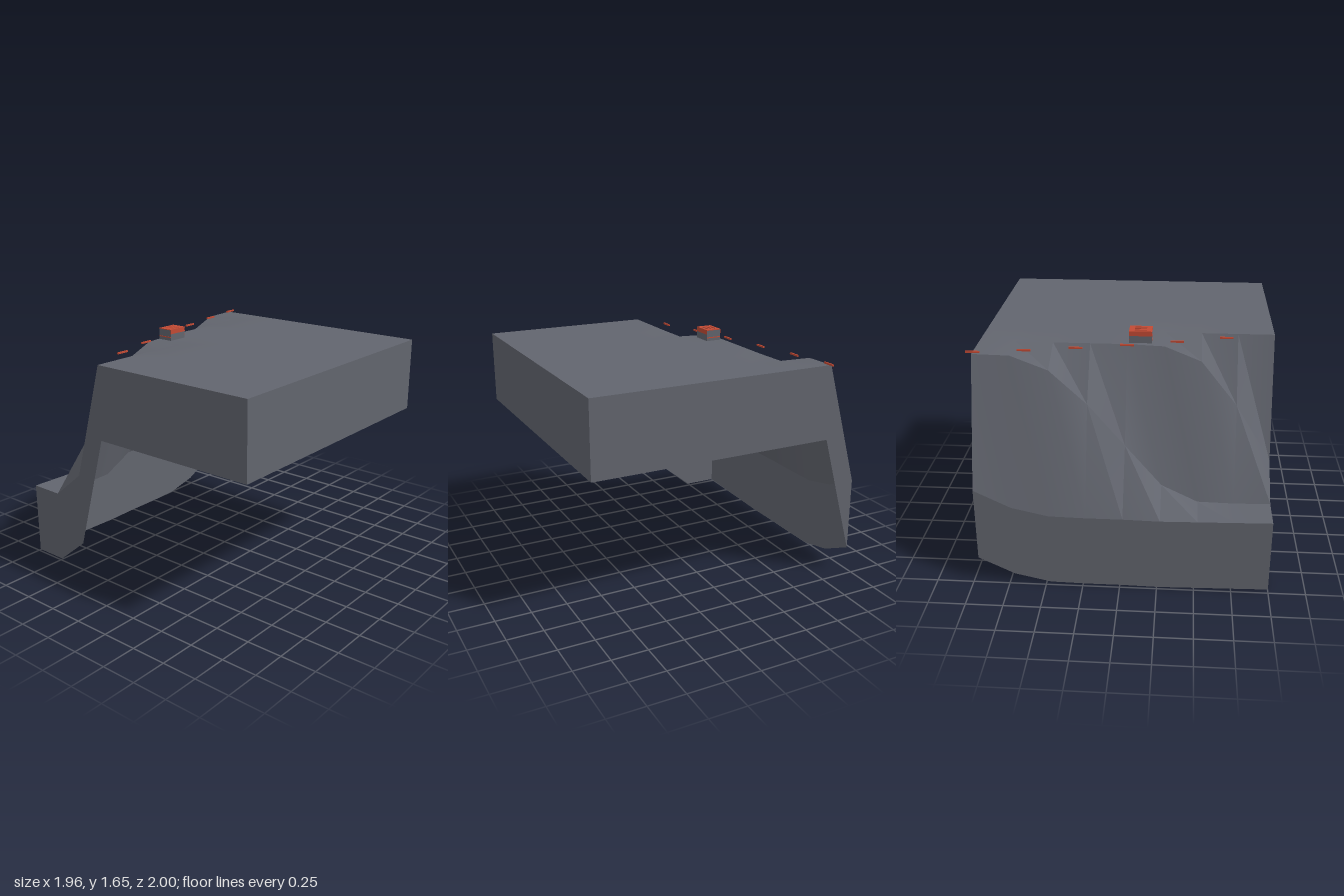
import * as THREE from 'three';
import { toCreasedNormals } from 'three/addons/utils/BufferGeometryUtils.js';

const N = 8, HALF = 0.98, ZC = 0.02, TOP = 1.57, SKIRT = 0.52;

// Heights of the three cliff columns (from the -x edge), listed back to front
const cliff = [
  [0.71, 0.59, 0.535, 0.53, 0.53, 0.525, 0.53, 0.535, 0.54],
  [1.57, 1.565, 1.47, 1.24, 0.95, 0.66, 0.54, 0.535, 0.54],
  [1.57, 1.57, 1.57, 1.57, 1.57, 1.56, 1.46, 1.15, 0.74],
];
const height = (i, j) => (cliff[i] ? cliff[i][j] : TOP);
const gridX = (i) => -HALF + (2 * HALF * i) / N;
const gridZ = (j) => gridX(j) + ZC;

export function createModel() {
  const group = new THREE.Group();
  const ground = new THREE.MeshStandardMaterial({ color: 0x62656e, side: THREE.DoubleSide });
  ground.name = 'slate grey';
  const red = new THREE.MeshStandardMaterial({ color: 0xc24a34 });
  red.name = 'brick red';

  const add = (name, geometry, material, parent = group) => {
    const mesh = new THREE.Mesh(geometry, material);
    mesh.name = name;
    parent.add(mesh);
    return mesh;
  };
  const box = (name, material, parent, w, h, d, x, y, z) =>
    add(name, new THREE.BoxGeometry(w, h, d), material, parent).position.set(x, y, z);

  // Terrain surface: a plane raised by the height grid
  const surface = new THREE.PlaneGeometry(2 * HALF, 2 * HALF, N, N).rotateX(-Math.PI / 2).translate(0, 0, ZC);
  const p = surface.attributes.position;
  for (let k = 0; k < p.count; k++) p.setY(k, height(k % (N + 1), Math.floor(k / (N + 1))));
  add('terrainSurface', toCreasedNormals(surface, 0.45), ground);

  // Skirts: open-bottomed walls that follow the terrain edge
  const sides = {
    frontSkirt: (k) => [k, N],
    leftSkirt: (k) => [N, N - k],
    backSkirt: (k) => [N - k, 0],
    rightSkirt: (k) => [0, k],
  };
  for (const [name, edge] of Object.entries(sides)) {
    const wall = new THREE.PlaneGeometry(1, 1, N, 1);
    const w = wall.attributes.position;
    for (let k = 0; k < w.count; k++) {
      const [i, j] = edge(k % (N + 1));
      w.setXYZ(k, gridX(i), height(i, j) - (k > N ? SKIRT : 0), gridZ(j));
    }
    wall.computeVertexNormals();
    add(name, wall, ground);
  }

  // Row of marker bars along the cliff top
  const markers = new THREE.Group();
  markers.name = 'cliffMarkers';
  group.add(markers);
  const bars = [[-0.717, -0.955], [-0.665, -0.635], [-0.602, -0.308], [-0.528, 0.02], [-0.443, 0.345], [-0.35, 0.672]];
  for (const [x, z] of bars) box('markerBar', red, markers, 0.011, 0.012, 0.09, x, 1.578, z);

  // Small blockhouse
  const house = new THREE.Group();
  house.name = 'blockhouse';
  house.position.set(-0.41, TOP, 0.105);
  group.add(house);
  box('blockhouseBody', ground, house, 0.11, 0.076, 0.15, 0, 0.038, 0);

  // Roof plate with three slots
  const roof = new THREE.Shape([[-0.057, -0.076], [0.057, -0.076], [0.057, 0.076], [-0.057, 0.076]].map((c) => new THREE.Vector2(...c)));
  for (const x of [-0.03, 0, 0.03]) {
    const slot = [[-0.007, -0.04], [-0.007, 0.04], [0.007, 0.04], [0.007, -0.04]];
    roof.holes.push(new THREE.Path(slot.map(([a, b]) => new THREE.Vector2(x + a, b))));
  }
  const roofGeometry = new THREE.ExtrudeGeometry(roof, { depth: 0.005, bevelEnabled: false }).rotateX(-Math.PI / 2);
  add('roofPlate', roofGeometry, red, house).position.y = 0.076;

  // Painted bands on the blockhouse walls
  for (const s of [-1, 1]) {
    box('sideBand', red, house, 0.003, 0.028, 0.15, s * 0.0555, 0.062, 0);
    box('endStripe', red, house, 0.11, 0.007, 0.003, 0, 0.024, s * 0.0755);
  }
  return group;
}
